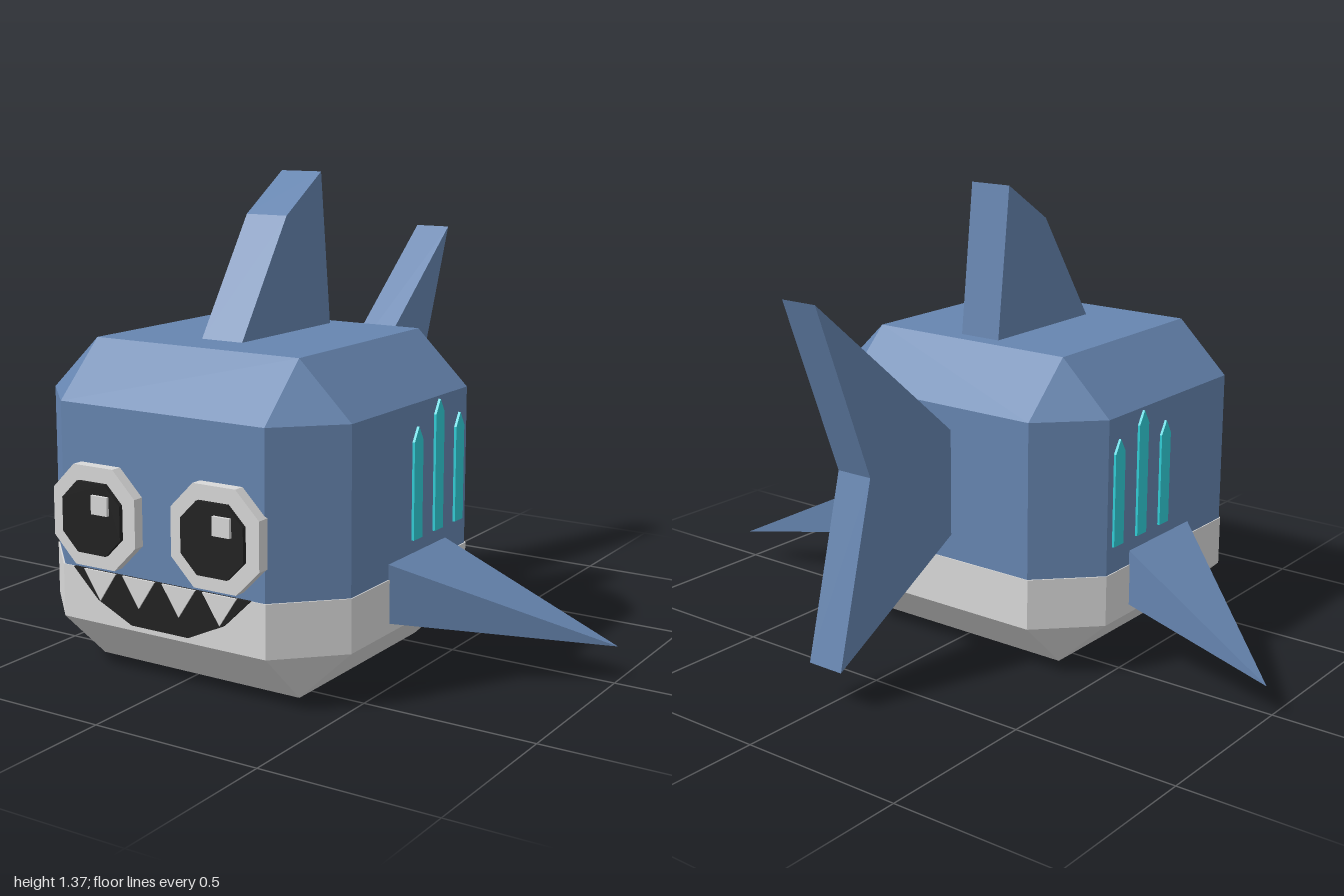
import * as THREE from 'three';
import { ConvexGeometry } from 'three/addons/geometries/ConvexGeometry.js';

const mat = (name, color) => {
  const m = new THREE.MeshStandardMaterial({ color });
  m.name = name;
  return m;
};

export function createModel() {
  const blue = mat('blue skin', 0x6685b0);
  const pale = mat('pale belly', 0xd9d9d9);
  const black = mat('black', 0x222222);
  const teal = mat('teal gill', 0x31cfd8);

  const model = new THREE.Group();
  model.name = 'shark';
  const add = (name, geometry, material) => {
    const mesh = new THREE.Mesh(geometry, material);
    mesh.name = name;
    model.add(mesh);
    return mesh;
  };
  const V = (x, y, z) => new THREE.Vector3(x, y, z);

  // Flat outline extruded along z from z0 to z1
  const plate = (points, z0, z1) => {
    const shape = new THREE.Shape(points.map(([x, y]) => new THREE.Vector2(x, y)));
    return new THREE.ExtrudeGeometry(shape, { depth: z1 - z0, bevelEnabled: false }).translate(0, 0, z0);
  };
  // Outline given as [z, y], centred on x
  const sidePlate = (points, x, width) =>
    plate(points, -width / 2, width / 2).rotateY(-Math.PI / 2).translate(x, 0, 0);

  // Body cross-sections at height y
  const midZ = 0.245;
  const ring = (y, grow = 0) => {
    const points = [];
    for (const sx of [-1, 1]) for (const sz of [-1, 1]) {
      points.push(V(sx * (0.335 + grow), y, midZ + sz * (0.475 + grow)));
      points.push(V(sx * (0.495 + grow), y, midZ + sz * (0.315 + grow)));
    }
    return points;
  };
  const cap = (y) => {
    const points = [];
    for (const sx of [-1, 1]) for (const sz of [-1, 1]) points.push(V(sx * 0.335, y, midZ + sz * 0.315));
    return points;
  };
  add('upperBody', new ConvexGeometry([...ring(0.305), ...ring(0.765), ...cap(0.92)]), blue);
  add('belly', new ConvexGeometry([...cap(0), ...ring(0.155, 0.003), ...ring(0.305, 0.003)]), pale);

  // Back fin and tail
  add('dorsalFin', sidePlate([[0.43, 0.92], [0.43, 0.9], [-0.018, 0.9], [-0.02, 0.92], [0.03, 1.365], [0.21, 1.25]], -0.002, 0.135), blue);
  add('tailFin', sidePlate([[-0.2, 0.67], [-0.2, 0.395], [-0.71, 0.115], [-0.575, 0.64], [-0.77, 1.15]], -0.002, 0.116), blue);

  for (const s of [1, -1]) {
    const side = s > 0 ? 'left' : 'right';

    // Pyramid-shaped side fin
    add(side + 'SideFin', new ConvexGeometry([
      V(s * 0.48, 0.355, 0.38), V(s * 0.48, 0.355, 0.05),
      V(s * 0.48, 0.185, 0.38), V(s * 0.48, 0.185, 0.05), V(s * 0.995, 0.095, -0.03),
    ]), blue);

    // Gills
    for (const [z, top] of [[0.22, 0.7], [0.1, 0.757], [-0.02, 0.7]]) {
      add(side + 'Gill', sidePlate([
        [z - 0.024, 0.385], [z + 0.024, 0.385], [z + 0.024, top - 0.04], [z, top], [z - 0.024, top - 0.04],
      ], s * 0.498, 0.009), teal);
    }

    // Eye, pupil and glint
    const octagon = (r, cx, cy) => {
      const f = r * 0.48;
      return [[r, -f], [r, f], [f, r], [-f, r], [-r, f], [-r, -f], [-f, -r], [f, -r]].map(([x, y]) => [cx + x, cy + y]);
    };
    const ex = s * 0.2;
    add(side + 'Eye', plate(octagon(0.14, ex, 0.464), 0.71, 0.753), pale);
    add(side + 'Pupil', plate(octagon(0.099, ex, 0.463), 0.753, 0.766), black);
    add(side + 'Glint', new THREE.BoxGeometry(0.055, 0.052, 0.009).translate(ex + 0.036, 0.505, 0.7705), pale);
  }

  // Mouth and teeth
  add('mouth', plate([
    [-0.295, 0.307], [-0.21, 0.225], [-0.095, 0.172], [0.095, 0.172], [0.21, 0.225], [0.295, 0.307],
  ], 0.722, 0.731), black);
  for (const x of [-0.2, -0.067, 0.067, 0.2]) {
    add('tooth', plate([[x - 0.055, 0.308], [x, 0.225], [x + 0.055, 0.308]], 0.729, 0.735), pale);
  }
  return model;
}
